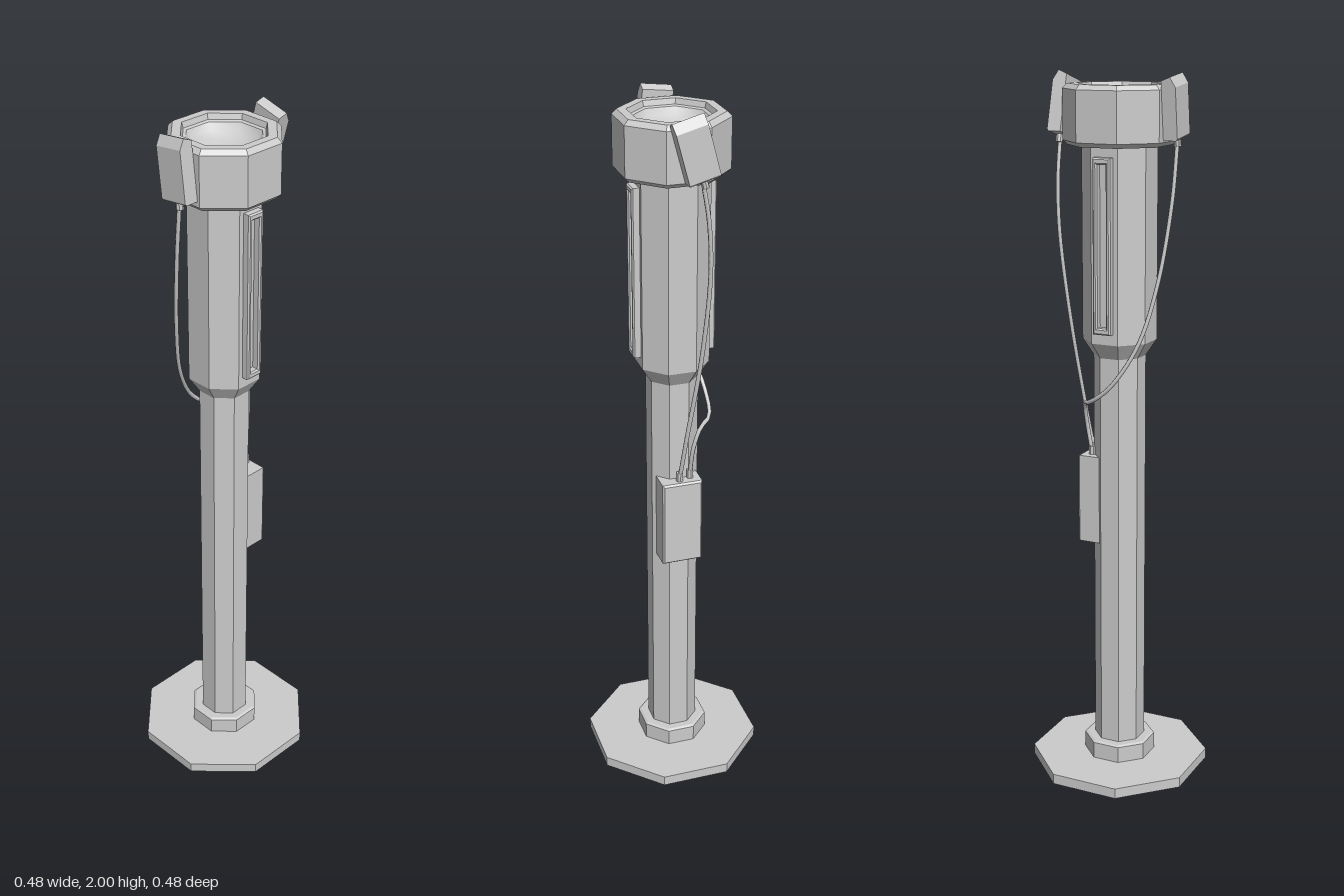
import * as THREE from 'three';

const flat = new THREE.MeshStandardMaterial({ color: 0xcccccc, flatShading: true });
const smooth = new THREE.MeshStandardMaterial({ color: 0xcccccc });

function add(parent, name, geometry, material = flat) {
  const mesh = new THREE.Mesh(geometry, material);
  mesh.name = name;
  parent.add(mesh);
  return mesh;
}

// Eight-sided turned part; profile is [distance to flat, height], flats face the axes
function octagon(profile) {
  const k = 1 / Math.cos(Math.PI / 8);
  const points = profile.map(([r, y]) => new THREE.Vector2(r * k, y));
  return new THREE.LatheGeometry(points, 8, Math.PI / 8);
}

function rectangle(Type, w, h) {
  const s = new Type();
  s.moveTo(-w / 2, -h / 2);
  s.lineTo(w / 2, -h / 2);
  s.lineTo(w / 2, h / 2);
  s.lineTo(-w / 2, h / 2);
  s.closePath();
  return s;
}

function cable(parent, name, points) {
  const curve = new THREE.CatmullRomCurve3(points.map(p => new THREE.Vector3(...p)));
  add(parent, name, new THREE.TubeGeometry(curve, 40, 0.006, 6), smooth);
}

function plug(parent, x, y, z) {
  add(parent, 'cablePlug', new THREE.CylinderGeometry(0.01, 0.01, 0.03, 8)).position.set(x, y, z);
}

export function createModel() {
  const model = new THREE.Group();
  model.name = 'bollardPost';

  // Foot plate with open middle, and collar
  add(model, 'footPlate', octagon([[0.095, 0.03], [0.095, 0], [0.238, 0], [0.238, 0.03], [0.09, 0.03]]));
  add(model, 'collar', octagon([[0.095, 0.03], [0.095, 0.078], [0.088, 0.082], [0.06, 0.082]]));

  // Pole flaring into the thicker upper body
  add(model, 'pole', octagon([[0.067, 0.03], [0.067, 1.235]]));
  add(model, 'upperBody', octagon([[0.067, 1.235], [0.095, 1.28], [0.095, 1.82]]));

  // Bevelled head with a recessed rim
  add(model, 'head', octagon([
    [0.09, 1.81], [0.13, 1.81], [0.142, 1.822], [0.142, 1.957], [0.13, 1.97],
    [0.107, 1.97], [0.103, 1.955], [0.095, 1.952],
  ]));
  // Shallow dish inside the rim
  add(model, 'dish', octagon([
    [0.095, 1.952], [0.085, 1.935], [0.062, 1.919], [0.03, 1.911], [0, 1.909],
  ]), smooth);

  // Raised slot frames on the front and back of the body
  const frameShape = rectangle(THREE.Shape, 0.044, 0.465);
  frameShape.holes.push(rectangle(THREE.Path, 0.034, 0.445));
  for (const turn of [0, Math.PI]) {
    const holder = new THREE.Group();
    holder.name = turn ? 'backSlot' : 'frontSlot';
    holder.rotation.y = turn;
    const frame = add(holder, 'slotFrame', new THREE.ExtrudeGeometry(frameShape, {
      depth: 0.019, bevelThickness: 0.004, bevelSize: 0.004, bevelSegments: 1,
    }));
    frame.position.set(0, 1.547, 0.093);
    model.add(holder);
  }

  // Side pads on the head, leaning opposite ways
  const padShape = new THREE.Shape([
    [0, -0.08], [0.036, -0.08], [0.04, -0.075], [0.04, 0.058], [0.025, 0.084], [0, 0.074],
  ].map(p => new THREE.Vector2(...p)));
  for (const side of [1, -1]) {
    const pad = new THREE.Group();
    pad.name = side > 0 ? 'leftPad' : 'rightPad';
    const body = add(pad, 'padBody', new THREE.ExtrudeGeometry(padShape, { depth: 0.085, bevelEnabled: false }));
    body.geometry.translate(0, 0, -0.0425);
    body.rotation.y = side > 0 ? 0 : Math.PI;
    plug(pad, side * 0.022, -0.086, 0);
    pad.position.set(side * 0.142, 1.911, side > 0 ? -0.01 : 0);
    pad.rotation.x = side > 0 ? 0.265 : -0.12;
    model.add(pad);
  }

  // Junction box on the pole
  const box = add(model, 'junctionBox', new THREE.ExtrudeGeometry(rectangle(THREE.Shape, 0.106, 0.245), {
    depth: 0.073, bevelThickness: 0.006, bevelSize: 0.005, bevelSegments: 1,
  }));
  box.rotation.y = Math.PI / 2;
  box.position.set(0.026, 0.8175, 0);
  plug(model, 0.082, 0.955, 0.003);
  plug(model, 0.072, 0.955, -0.03);

  // Cables from the pads to the box
  cable(model, 'leftCable', [
    [0.164, 1.825, -0.03], [0.163, 1.72, -0.047], [0.156, 1.58, -0.055], [0.132, 1.34, -0.042],
    [0.102, 1.08, -0.01], [0.082, 0.95, 0.003],
  ]);
  cable(model, 'rightCable', [
    [-0.164, 1.825, 0.01], [-0.158, 1.66, -0.01], [-0.132, 1.44, -0.045], [-0.09, 1.28, -0.078],
    [-0.02, 1.165, -0.104], [0.045, 1.115, -0.095], [0.08, 1.1, -0.058], [0.086, 1.04, -0.035],
    [0.072, 0.95, -0.03],
  ]);

  return model;
}
